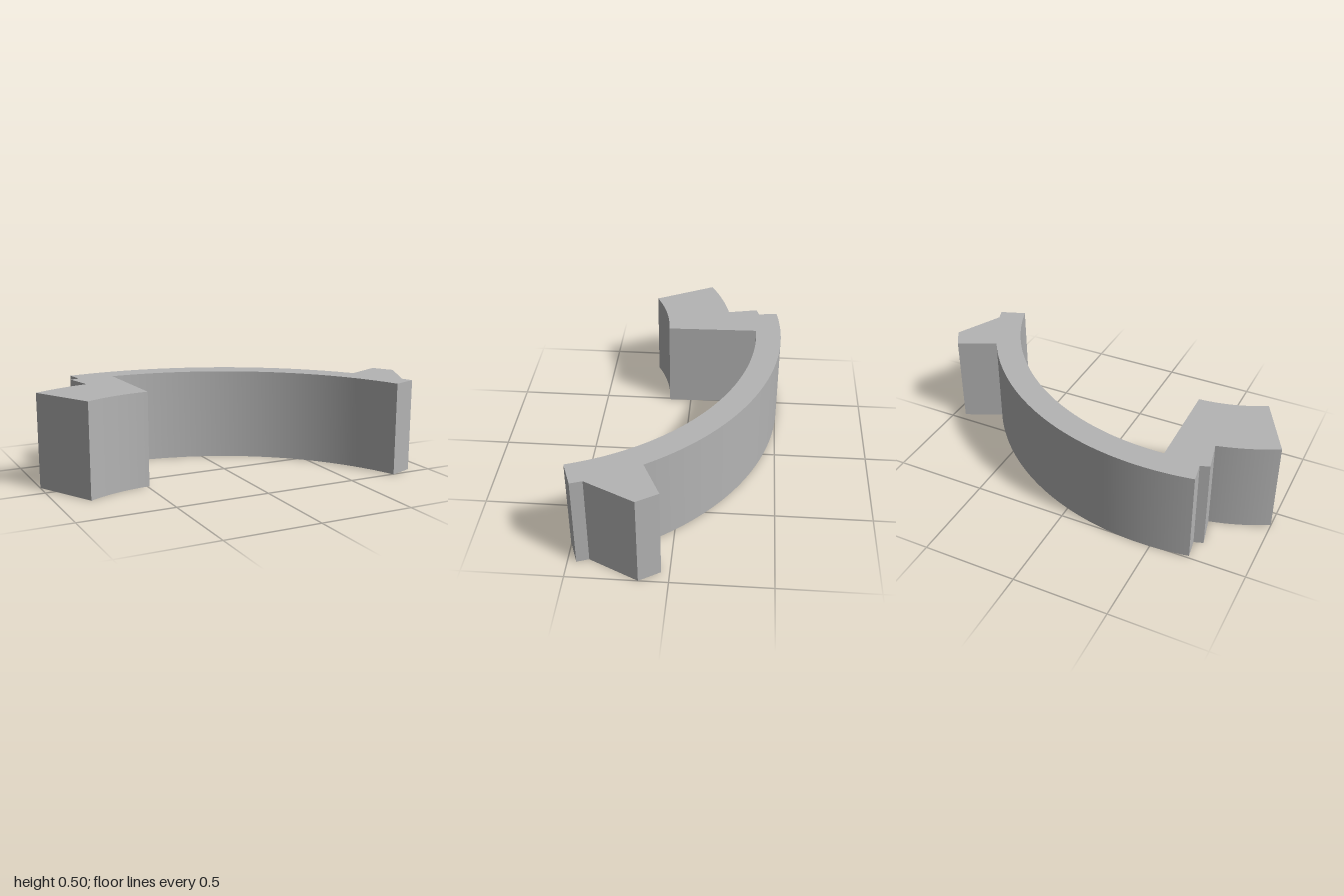
import * as THREE from 'three';
import { toCreasedNormals } from 'three/addons/utils/BufferGeometryUtils.js';

const HEIGHT = 0.495;
const CX = -0.45, CZ = 0.91; // common centre of all the arcs

export function createModel() {
  const group = new THREE.Group();
  group.name = 'curvedBracket';
  const grey = new THREE.MeshStandardMaterial({ color: 0xb4b4b4 });
  grey.name = 'grey';

  // plan outline, drawn in x and -z
  const shape = new THREE.Shape();
  const line = (...points) => points.forEach(([x, z]) => shape.lineTo(x, -z));
  const arc = (r, [x0, z0], [x1, z1], clockwise) => shape.absarc(CX, -CZ, r,
    Math.atan2(CZ - z0, x0 - CX), Math.atan2(CZ - z1, x1 - CX), clockwise);

  // outer face of the rib
  arc(1.419, [-0.703, -0.487], [0.74, 0.134], true);
  // hooked right end
  line([0.936, 0.041], [1, 0.145], [0.877, 0.396], [0.898, 0.456]);
  // inner face of the rib
  arc(1.281, [0.765, 0.505], [-0.5, -0.37], false);
  // left foot: inner curve, end face and outer curve
  arc(0.787, [-0.489, 0.123], [-0.835, 0.219], false);
  arc(1.146, [-1, -0.097], [-0.7, -0.208], true);
  // small step at the left end
  line([-0.735, -0.369], [-0.687, -0.385]);
  shape.closePath();

  const solid = new THREE.ExtrudeGeometry(shape, { depth: HEIGHT, bevelEnabled: false, curveSegments: 32 });
  solid.rotateX(-Math.PI / 2);
  const bracket = new THREE.Mesh(toCreasedNormals(solid, 0.2), grey);
  bracket.name = 'bracketBody';
  group.add(bracket);
  return group;
}
